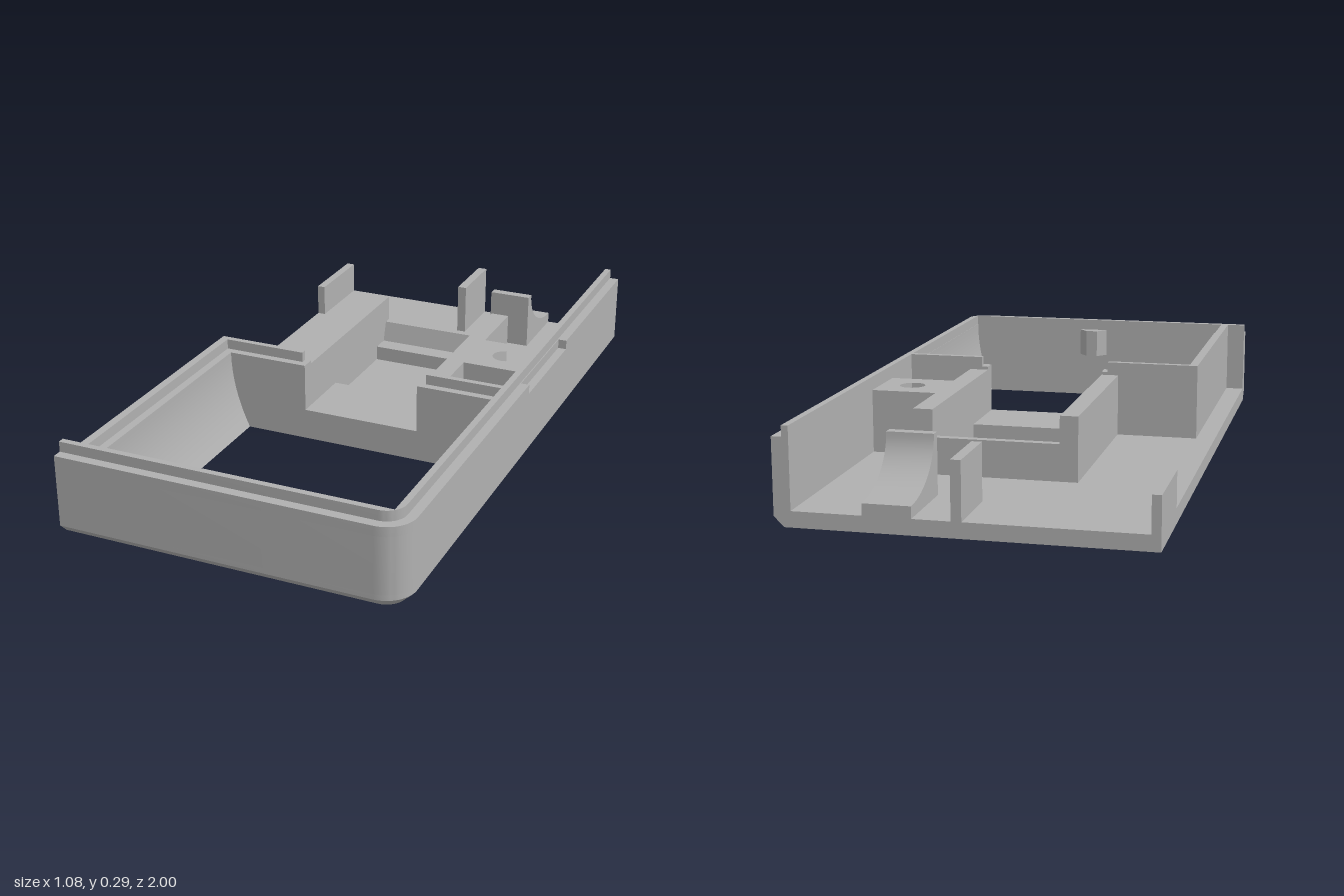
import * as THREE from 'three';
import { toCreasedNormals } from 'three/addons/utils/BufferGeometryUtils.js';

export function createModel() {
  const root = new THREE.Group();
  root.name = 'enclosureHalf';
  const grey = new THREE.MeshStandardMaterial({ color: 0xb0b0b0 });
  grey.name = 'grey plastic';

  const FLOOR = 0.047, RIM = 0.255, LIP = 0.287, WALL = 0.245;

  function add(name, geometry) {
    const mesh = new THREE.Mesh(toCreasedNormals(geometry, 0.5), grey);
    mesh.name = name;
    root.add(mesh);
    return mesh;
  }
  // box given by its limits
  function box(name, x0, x1, y0, y1, z0, z1) {
    const g = new THREE.BoxGeometry(x1 - x0, y1 - y0, z1 - z0);
    g.translate((x0 + x1) / 2, (y0 + y1) / 2, (z0 + z1) / 2);
    return add(name, g);
  }
  const toShape = (pts) => new THREE.Shape(pts.map(([a, b]) => new THREE.Vector2(a, b)));
  // plan outline in (x, z), raised from y0 to y1
  function plan(pts, y0, y1, holes = []) {
    const flip = (list) => list.map(([x, z]) => [x, -z]);
    const shape = toShape(flip(pts));
    holes.forEach((h) => shape.holes.push(toShape(flip(h))));
    const g = new THREE.ExtrudeGeometry(shape, { depth: y1 - y0, bevelEnabled: false });
    g.rotateX(-Math.PI / 2);
    g.translate(0, y0, 0);
    return g;
  }
  // profile in (z, y), run from x0 to x1
  function alongX(pts, x0, x1) {
    const g = new THREE.ExtrudeGeometry(toShape(pts.map(([z, y]) => [-z, y])), { depth: x1 - x0, bevelEnabled: false });
    g.rotateY(Math.PI / 2);
    g.translate(x0, 0, 0);
    return g;
  }
  // profile in (x, y), run from z0 to z1
  function alongZ(pts, z0, z1) {
    const g = new THREE.ExtrudeGeometry(toShape(pts), { depth: z1 - z0, bevelEnabled: false });
    g.translate(0, 0, z0);
    return g;
  }
  const circle = (x, z, r, n = 32) => Array.from({ length: n }, (_, i) => {
    const a = (i / n) * Math.PI * 2;
    return [x + r * Math.cos(a), z + r * Math.sin(a)];
  });
  const rect = (x0, x1, z0, z1) => [[x0, z0], [x1, z0], [x1, z1], [x0, z1]];

  // outer edge with one rounded corner, inset by i
  const CX = 0.445, CZ = 0.91, R = 0.09;
  function outerEdge(i) {
    const pts = [[-0.54, 1 - i]];
    for (let k = 0; k <= 12; k++) {
      const a = Math.PI / 2 * (1 - k / 12);
      pts.push([CX + (R - i) * Math.cos(a), CZ + (R - i) * Math.sin(a)]);
    }
    pts.push([0.535 - i, -1]);
    return pts;
  }

  // floor, with a chamfer along the right and front lower edges
  const openings = [rect(-0.48, 0.485, 0.15, 0.95), circle(0.385, -0.2, 0.063)];
  const outline = [...outerEdge(0), [-0.54, -1]];
  const bottom = plan(outline, 0, 0.03, openings);
  const p = bottom.attributes.position;
  for (let i = 0; i < p.count; i++) {
    if (p.getY(i) > 0.01) continue;
    const x = p.getX(i), z = p.getZ(i);
    if (x > CX && z > CZ) {
      if (Math.hypot(x - CX, z - CZ) > 0.08) {
        const s = (R - 0.03) / R;
        p.setX(i, CX + (x - CX) * s);
        p.setZ(i, CZ + (z - CZ) * s);
      }
    } else if (x > 0.5) p.setX(i, x - 0.03);
    else if (z > 0.96) p.setZ(i, z - 0.03);
  }
  bottom.computeVertexNormals();
  add('floorChamfer', bottom);
  add('floor', plan(outline, 0.03, FLOOR, openings));

  // outer wall, notched on the right side, and its lip
  const inner = [[0.485, -1], [0.485, 0.95], [-0.54, 0.95]];
  const edge = outerEdge(0);
  const notched = [...edge.slice(0, -1), [0.535, 0], [0.508, 0], [0.508, -0.38], [0.535, -0.38], [0.535, -1], ...inner];
  add('outerWall', plan([...edge, ...inner], FLOOR, 0.225));
  add('outerWallTop', plan(notched, 0.225, RIM));
  add('outerLip', plan([...outerEdge(0.03), ...inner], RIM, LIP));

  // curved sides of the window
  const curve = (x0, x1) => Array.from({ length: 13 }, (_, i) => {
    const t = i / 12;
    return [x0 + (x1 - x0) * t * t, RIM * (1 - t)];
  });
  add('windowLeftSide', alongZ([[-0.48, 0], [-0.48, RIM], ...curve(-0.43, -0.37)], 0.15, 0.95));
  add('windowRightSide', alongZ([[0.486, 0], [0.486, RIM], ...curve(0.484, 0.43)], 0.15, 0.95));

  // partition behind the window, with its lip
  box('partitionLeft', -0.48, -0.165, FLOOR, RIM, 0.105, 0.15);
  box('partitionRight', 0.22, 0.485, FLOOR, RIM, 0.105, 0.15);
  box('partitionLipRight', 0.24, 0.485, RIM, LIP, 0.105, 0.125);
  add('partitionLipLeft', plan(
    [[-0.48, 0.95], [-0.48, 0.105], [-0.185, 0.105], [-0.185, 0.125], [-0.455, 0.125], [-0.455, 0.95]], RIM, LIP));

  // catch on the front wall
  add('catch', plan([[-0.02, 0.95], [0.01, 0.912], [0.05, 0.912], [0.08, 0.95]], 0.155, 0.25));

  // central tray: two side walls and a stepped bed
  box('trayLeftWall', -0.22, -0.165, FLOOR, WALL, -0.53, 0.105);
  box('trayRightWall', 0.22, 0.28, FLOOR, WALL, -0.53, 0.105);
  add('trayBackStep', alongX(
    [[-0.53, FLOOR], [-0.53, 0.16], [-0.505, 0.16], [-0.485, 0.095], [-0.425, 0.095], [-0.425, FLOOR]], -0.165, 0.22));
  box('trayFrontStep', -0.165, 0.22, FLOOR, 0.1, -0.08, 0.15);

  // screw boss, bored wide below and narrow above
  const boss = rect(0.28, 0.485, -0.3, -0.1);
  add('screwBoss', plan(boss, FLOOR, 0.17, [circle(0.385, -0.2, 0.063)]));
  add('screwBossTop', plan(boss, 0.17, WALL, [circle(0.385, -0.2, 0.04)]));

  // concave cradle at the back edge
  const cradle = [[-1, FLOOR], [-0.75, FLOOR], [-0.75, 0.232], [-0.78, 0.232]];
  for (let i = 1; i <= 14; i++) {
    const a = (i / 14) * Math.PI / 2;
    cradle.push([-1 + 0.22 * Math.cos(a), 0.232 - 0.15 * Math.sin(a)]);
  }
  add('cradle', alongX(cradle, 0.14, 0.28));

  // upright rib and edge tab
  box('rib', 0, 0.03, FLOOR, 0.218, -1, -0.785);
  box('edgeTab', -0.54, -0.513, FLOOR, 0.155, -1, -0.733);

  return root;
}
